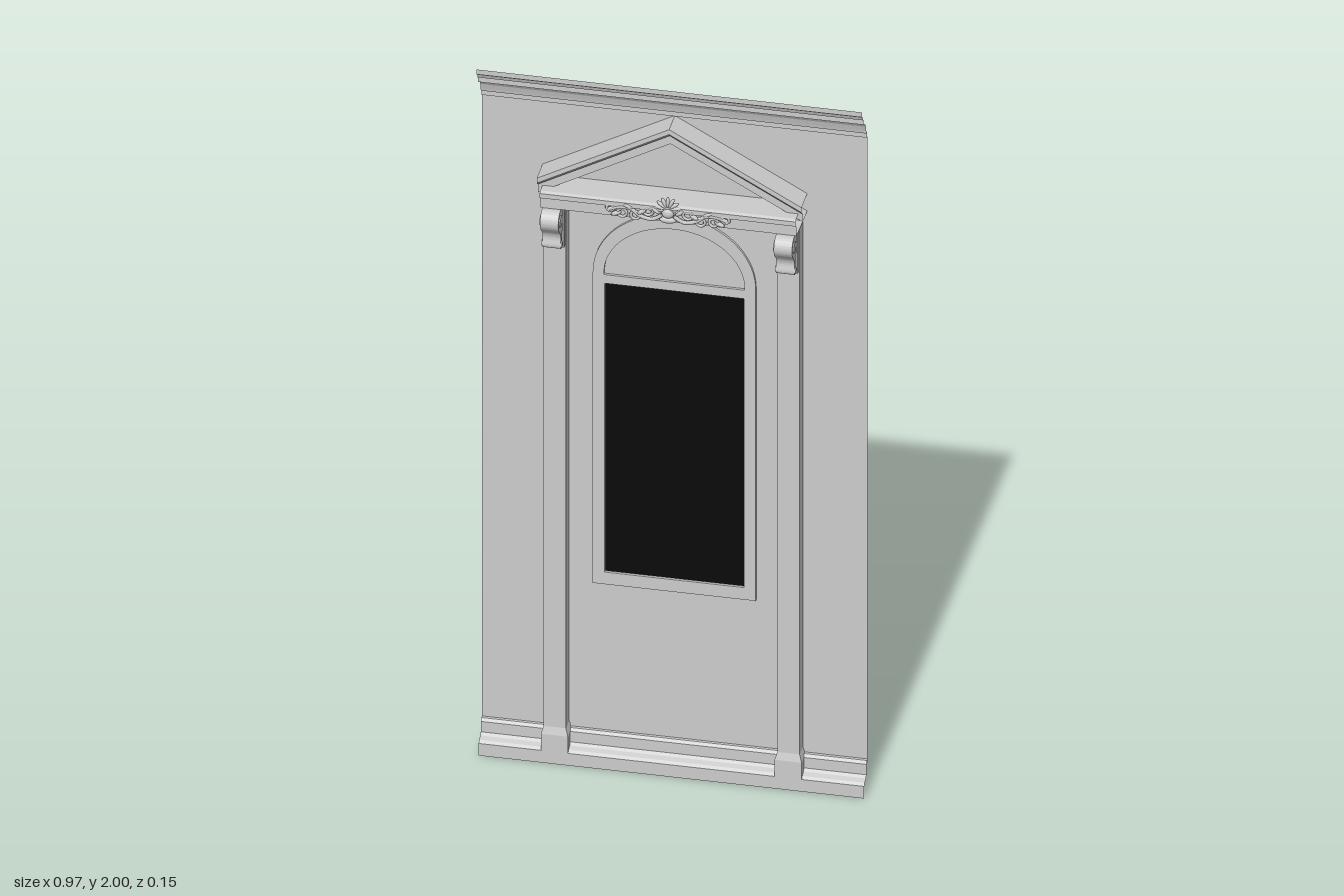
import * as THREE from 'three';

const grey = new THREE.MeshStandardMaterial({ color: 0xcccccc, side: THREE.DoubleSide });
const black = new THREE.MeshStandardMaterial({ color: 0x0a0a0a, side: THREE.DoubleSide });
const WALL_Z = -0.033;

function add(parent, name, geometry, material = grey) {
  const mesh = new THREE.Mesh(geometry, material);
  mesh.name = name;
  parent.add(mesh);
  return mesh;
}

// Open faceted surface through rows of [x, y, z] points
function loft(rows) {
  const n = rows[0].length, index = [];
  for (let i = 0; i < rows.length - 1; i++)
    for (let j = 0; j < n - 1; j++) {
      const a = i * n + j, b = a + n;
      index.push(a, b, a + 1, a + 1, b, b + 1);
    }
  let g = new THREE.BufferGeometry();
  g.setAttribute('position', new THREE.Float32BufferAttribute(rows.flat(2), 3));
  g.setIndex(index);
  g = g.toNonIndexed();
  g.computeVertexNormals();
  return g;
}

// Moulding: a [z, y] profile run along stations of [x, y offset]
const moulding = (profile, stations) =>
  loft(stations.map(([x, dy]) => profile.map(([z, y]) => [x, y + dy, z])));
const straight = (profile, w) => moulding(profile, [[-w, 0], [w, 0]]);

function rectangle(Type, x, y0, y1) {
  const s = new Type();
  s.moveTo(-x, y0);
  s.lineTo(x, y0);
  s.lineTo(x, y1);
  s.lineTo(-x, y1);
  s.closePath();
  return s;
}

// Rectangle with an elliptical head
function arched(Type, x, y0, spring, rise) {
  const s = new Type();
  s.moveTo(-x, y0);
  s.lineTo(x, y0);
  s.lineTo(x, spring);
  s.absellipse(0, spring, x, rise, 0, Math.PI, false, 0);
  s.closePath();
  return s;
}

function buildWall(root) {
  const wall = rectangle(THREE.Shape, 0.485, 0.08, 1.89);
  wall.holes.push(rectangle(THREE.Path, 0.175, 0.55, 1.385));
  add(root, 'wall', new THREE.ShapeGeometry(wall)).position.z = WALL_Z;

  add(root, 'topCornice', straight([
    [WALL_Z, 1.89], [-0.026, 1.89], [-0.026, 1.905], [-0.018, 1.907], [-0.016, 1.916],
    [-0.012, 1.93], [-0.004, 1.942], [0.008, 1.95], [0.015, 1.952], [0.015, 1.966],
    [0.02, 1.968], [0.024, 1.978], [0.035, 1.986], [0.035, 2],
  ], 0.485));

  add(root, 'baseboard', straight([
    [0.008, 0], [0.008, 0.035], [0.002, 0.042], [-0.012, 0.046], [-0.018, 0.053],
    [-0.018, 0.083], [-0.025, 0.09], [WALL_Z, 0.09],
  ], 0.485));
}

function buildWindow(root) {
  const frame = arched(THREE.Shape, 0.205, 0.515, 1.415, 0.187);
  frame.holes.push(rectangle(THREE.Path, 0.175, 0.55, 1.385));
  frame.holes.push(arched(THREE.Path, 0.177, 1.41, 1.415, 0.148));
  const g = new THREE.ExtrudeGeometry(frame, { depth: 0.007, bevelEnabled: false, curveSegments: 24 });
  add(root, 'windowFrame', g).position.z = WALL_Z + 0.0005;

  const glass = add(root, 'windowPane', new THREE.PlaneGeometry(0.35, 0.835), black);
  glass.position.set(0, 0.9675, WALL_Z);
}

// Pilaster: open-backed channel with a flared foot, reaching through the wall
function buildPilaster(root, side) {
  const row = (y, half, zf, zb) => {
    const c = side * 0.294;
    return [[c - half, y, zb], [c - half, y, zf], [c + half, y, zf], [c + half, y, zb]];
  };
  add(root, 'pilaster', loft([
    row(0.035, 0.034, 0.011, -0.055), row(0.085, 0.034, 0.011, -0.055),
    row(0.105, 0.028, 0.005, -0.05), row(1.625, 0.028, 0.005, -0.05),
  ]));
}

// Scrolled bracket drawn in side profile and extruded across its width
function buildBracket(root, side) {
  const bracket = new THREE.Group();
  bracket.name = 'bracket';
  const s = new THREE.Shape();
  s.moveTo(0.018, 1.625);
  s.lineTo(0.05, 1.625);
  s.bezierCurveTo(0.068, 1.622, 0.078, 1.602, 0.07, 1.585);
  s.bezierCurveTo(0.062, 1.568, 0.045, 1.565, 0.042, 1.545);
  s.bezierCurveTo(0.04, 1.532, 0.05, 1.522, 0.042, 1.513);
  s.bezierCurveTo(0.034, 1.507, 0.026, 1.514, 0.027, 1.525);
  s.bezierCurveTo(0.03, 1.545, 0.024, 1.56, 0.018, 1.57);
  s.closePath();
  const g = new THREE.ExtrudeGeometry(s, { depth: 0.046, bevelEnabled: false, curveSegments: 8 });
  g.rotateY(-Math.PI / 2); // profile x becomes z
  g.translate(0.023, 0, 0);
  add(bracket, 'scroll', g);
  for (const [y, z, r] of [[1.597, 0.05, 0.015], [1.523, 0.037, 0.008]]) {
    const eye = add(bracket, 'scrollEye', new THREE.CylinderGeometry(r, r, 0.052, 16));
    eye.rotation.z = Math.PI / 2;
    eye.position.set(0, y, z);
  }
  const plate = add(bracket, 'backPlate', new THREE.BoxGeometry(0.052, 0.12, 0.014));
  plate.position.set(0, 1.563, 0.012);
  bracket.position.x = side * 0.294;
  root.add(bracket);
}

function buildPediment(root) {
  add(root, 'entablature', straight([
    [WALL_Z, 1.625], [0.04, 1.625], [0.04, 1.652], [0.045, 1.656], [0.053, 1.66],
    [0.053, 1.673], [0.045, 1.677], [WALL_Z, 1.677],
  ], 0.322));

  // Sloping cornice, open behind
  add(root, 'rakingCornice', moulding([
    [-0.073, 1.888], [0.035, 1.888], [0.035, 1.874], [0.028, 1.866], [0.02, 1.862],
    [0.02, 1.838], [-0.06, 1.838],
  ], [[-0.333, -0.183], [0, 0], [0.333, -0.183]]));
}

// Carved relief: a central shell with leafy scrolls either side
function buildOrnament(root) {
  const relief = new THREE.Group();
  relief.name = 'carvedOrnament';
  const blob = (name, x, y, sx, sy, sz, angle = 0) => {
    const m = add(relief, name, new THREE.SphereGeometry(1, 10, 8));
    m.scale.set(sx, sy, sz);
    m.rotation.z = angle;
    m.position.set(x, y, 0);
  };
  for (let i = -3; i <= 3; i++) {
    const a = i * 0.48;
    blob('shellRib', Math.sin(a) * 0.018, 1.668 + Math.cos(a) * 0.018, 0.005, 0.016, 0.006, -a);
  }
  blob('shellHeart', 0, 1.655, 0.016, 0.014, 0.009);
  blob('pendant', 0, 1.636, 0.022, 0.009, 0.008);
  for (const s of [-1, 1]) {
    const stem = new THREE.CatmullRomCurve3([
      [0.015, 1.648], [0.04, 1.634], [0.07, 1.64], [0.095, 1.658], [0.125, 1.658], [0.152, 1.648],
    ].map(([x, y]) => new THREE.Vector3(s * x, y, 0)));
    add(relief, 'scrollStem', new THREE.TubeGeometry(stem, 32, 0.005, 6));
    for (const [x, y, r] of [[0.05, 1.656, 0.012], [0.082, 1.64, 0.011], [0.115, 1.643, 0.011], [0.145, 1.654, 0.009]])
      add(relief, 'curl', new THREE.TorusGeometry(r, 0.004, 6, 16)).position.set(s * x, y, 0);
    for (const [x, y, a] of [[0.03, 1.66, 0.7], [0.066, 1.652, -0.6], [0.1, 1.664, 0.4], [0.13, 1.64, -0.4]])
      blob('leaf', s * x, y, 0.014, 0.006, 0.006, s * a);
  }
  relief.position.z = 0.05;
  root.add(relief);
}

export function createModel() {
  const root = new THREE.Group();
  root.name = 'windowWallPanel';
  buildWall(root);
  buildWindow(root);
  buildPediment(root);
  buildOrnament(root);
  for (const side of [-1, 1]) {
    buildPilaster(root, side);
    buildBracket(root, side);
  }
  return root;
}
